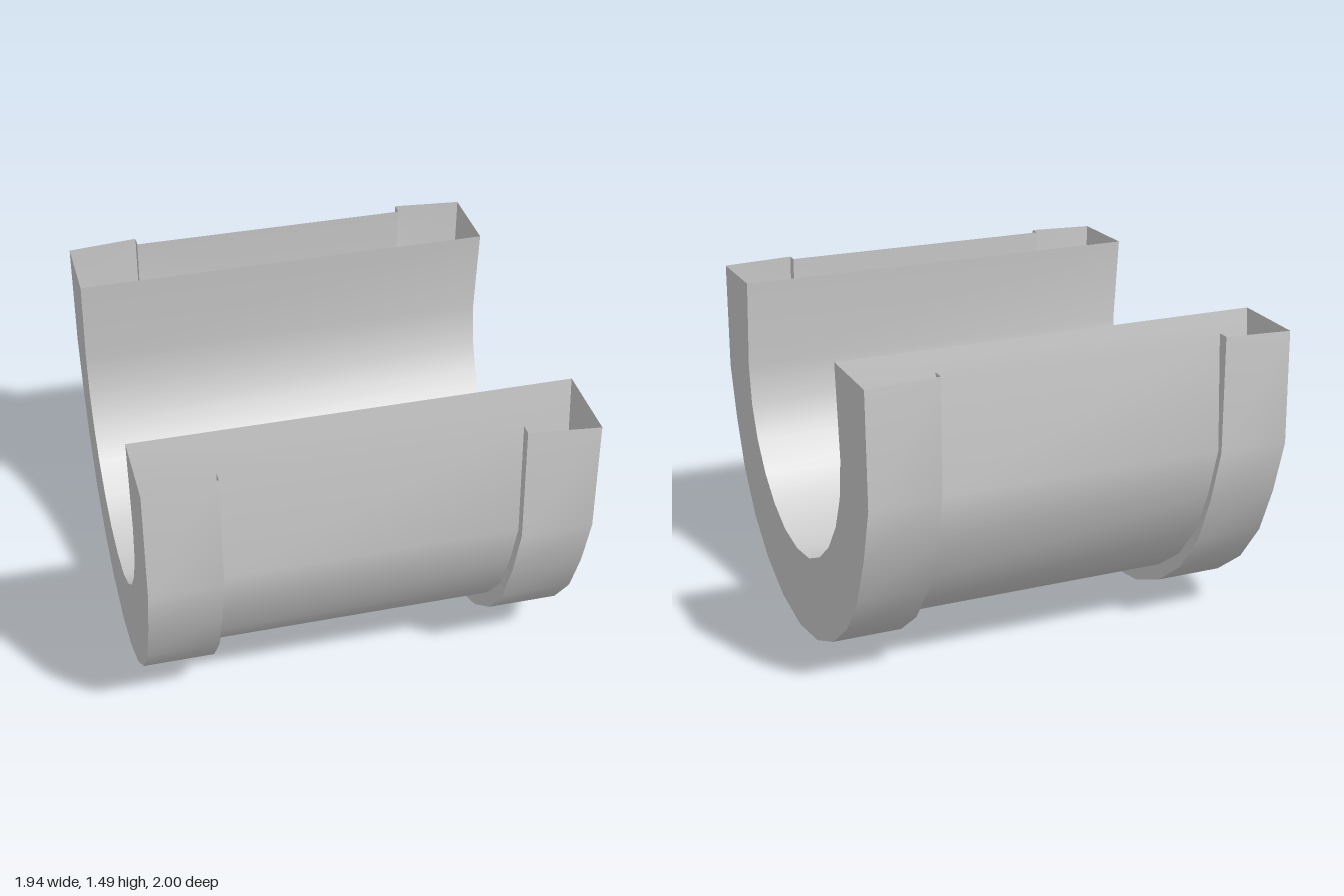
import * as THREE from 'three';

const END = 0.97, STEP = 0.65;

// Half-section in [z, y] from the upper rim down to the lowest point
const outerHalf = [[0.995, 1.47], [1, 0.96], [0.928, 0.71], [0.83, 0.478], [0.68, 0.283], [0.485, 0.135], [0.26, 0.038], [0, 0]];
const innerHalf = [[0.627, 1.475], [0.667, 1.06], [0.642, 0.875], [0.575, 0.72], [0.47, 0.585], [0.335, 0.48], [0.18, 0.41], [0, 0.387]];

// Mirror a half-section into a full U, running from front rim to back rim
const fullU = half => [...half, ...half.slice(0, -1).reverse().map(([z, y]) => [-z, y])];
const withRims = (u, front, back) => [front, ...u.slice(1, -1), back];

const outer = fullU(outerHalf);
const inner = fullU(innerHalf);
const flangeEnd = withRims(outer, [0.99, 1.47], [-0.987, 1.47]);
const flangeStep = withRims(outer, [0.972, 1.485], [-0.995, 1.485]);
const groove = withRims(
  outer.map(([z, y]) => [z * 0.964 - 0.009, 0.96 - (0.96 - y) * 0.908]),
  [0.922, 1.485], [-0.94, 1.485]);

export function createModel() {
  const group = new THREE.Group();
  const material = new THREE.MeshStandardMaterial({ color: 0xcccccc, side: THREE.DoubleSide });

  // Surface stretched between two sections at given x positions
  const ribbon = (name, a, xa, b, xb) => {
    const pos = [], index = [];
    a.forEach(([z, y], i) => {
      pos.push(xa, y, z, xb, b[i][1], b[i][0]);
      if (i < a.length - 1) {
        const k = 2 * i;
        index.push(k, k + 2, k + 1, k + 1, k + 2, k + 3);
      }
    });
    const geometry = new THREE.BufferGeometry();
    geometry.setAttribute('position', new THREE.Float32BufferAttribute(pos, 3));
    geometry.setIndex(index);
    geometry.computeVertexNormals();
    const mesh = new THREE.Mesh(geometry, material);
    mesh.name = name;
    group.add(mesh);
  };

  // Inner bearing surface and recessed outer wall; the rims between them stay open
  ribbon('innerWall', inner, END, inner, -END);
  ribbon('recessedOuterWall', groove, -STEP, groove, STEP);

  // Raised flange, step face and end plate on the left
  ribbon('leftFlange', flangeStep, STEP, flangeEnd, END);
  ribbon('leftStep', groove, STEP, flangeStep, STEP);
  ribbon('leftEndPlate', flangeEnd, END, inner, END);

  // The same on the right, with the order reversed to face outward
  ribbon('rightFlange', flangeEnd, -END, flangeStep, -STEP);
  ribbon('rightStep', flangeStep, -STEP, groove, -STEP);
  ribbon('rightEndPlate', inner, -END, flangeEnd, -END);

  return group;
}
